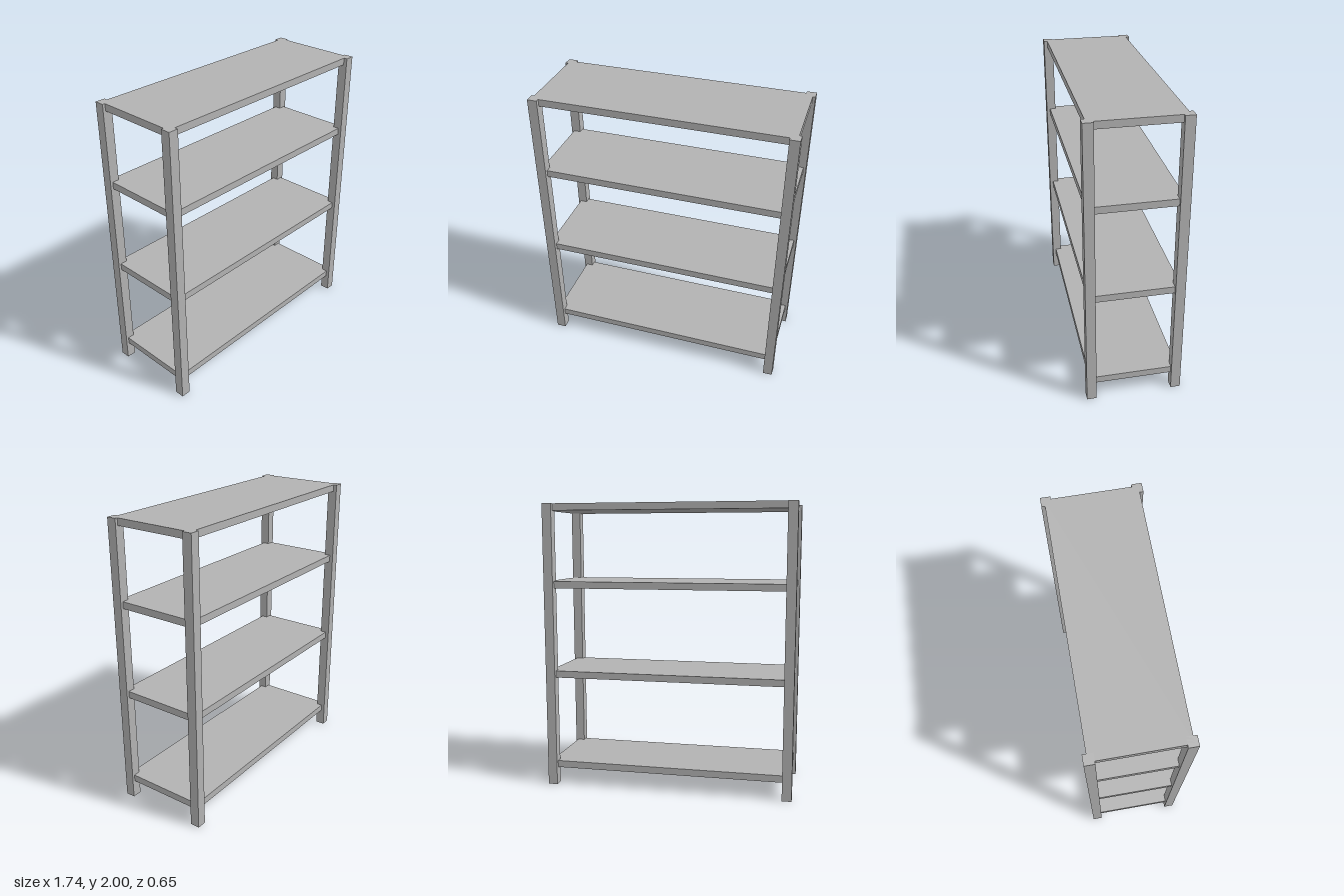
import * as THREE from 'three';

export function createModel() {
  const group = new THREE.Group();
  const grey = new THREE.MeshStandardMaterial({ color: 0xb2b2b2 });
  grey.name = 'grey';

  const addBox = (name, w, h, d, x, y, z) => {
    const mesh = new THREE.Mesh(new THREE.BoxGeometry(w, h, d), grey);
    mesh.name = name;
    mesh.position.set(x, y, z);
    group.add(mesh);
  };

  // four square corner posts
  const post = 0.066;
  for (const [side, sx] of [['Left', 1], ['Right', -1]]) {
    for (const [end, sz] of [['front', 1], ['back', -1]]) {
      addBox(`${end}${side}Post`, post, 2, post, sx * 0.838, 1, sz * 0.293);
    }
  }

  // four shelves let into the posts, the top one flush with their ends
  const thickness = 0.048;
  [0.17, 0.83, 1.465, 2].forEach((top, i) => {
    addBox(`shelf${i + 1}`, 1.706, thickness, 0.604, 0, top - thickness / 2, 0);
  });

  return group;
}
